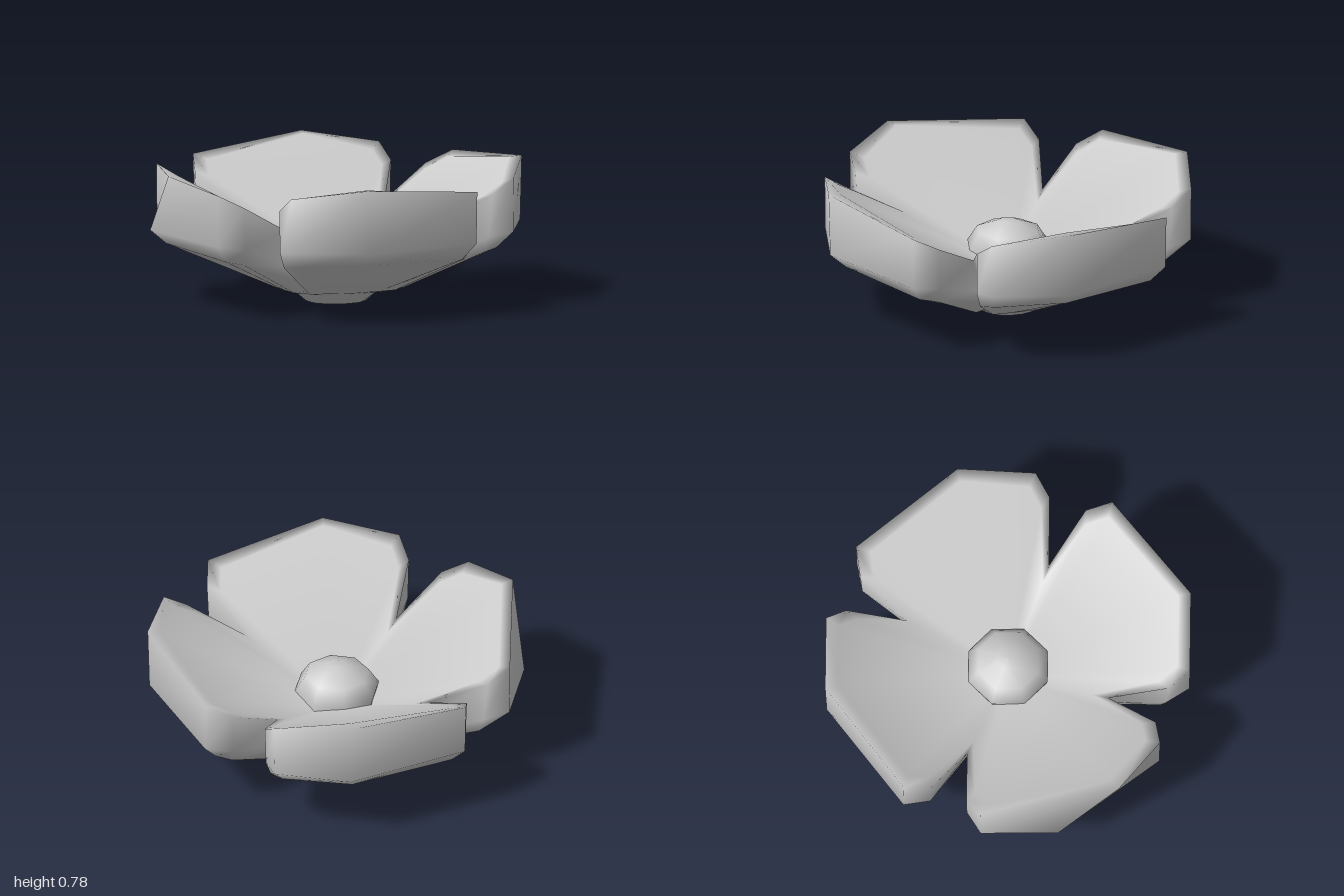
import * as THREE from 'three';
import { mergeGeometries, mergeVertices } from 'three/addons/utils/BufferGeometryUtils.js';

const material = new THREE.MeshStandardMaterial({ color: 0xcccccc });

// Quarter of the flower: rows of [u outward, v sideways, y] running from one valley
// (v = -u) round the petal to the other (v = u), stacked from foot to inner face
function petalGeometry(topTip, lowTip) {
  const rows = [
    // flat foot
    [[0.12, -0.12, 0], [0.145, -0.1, 0], [0.16, -0.06, 0], [0.17, 0, 0],
      [0.16, 0.06, 0], [0.145, 0.1, 0], [0.12, 0.12, 0]],
    // flare above the foot
    [[0.17, -0.17, 0.06], [0.2, -0.14, 0.06], [0.225, -0.09, 0.06], [0.24, 0, 0.06],
      [0.225, 0.09, 0.06], [0.2, 0.14, 0.06], [0.17, 0.17, 0.06]],
    // bowl
    [[0.21, -0.21, 0.09], [0.32, -0.25, 0.09], [0.34, -0.15, 0.09], [0.36, 0, 0.09],
      [0.34, 0.15, 0.09], [0.32, 0.25, 0.09], [0.21, 0.21, 0.09]],
    // edge of the underside
    [[0.27, -0.27, 0.15], [0.7, -0.52, 0.31], [0.79, -0.47, 0.325], [0.95, lowTip * 0.8, 0.345],
      [0.79, 0.49, 0.325], [0.7, 0.53, 0.31], [0.27, 0.27, 0.15]],
    // lower rim
    [[0.32, -0.32, 0.25], [0.72, -0.55, 0.4], [0.87, -0.53, 0.42], [1.035, lowTip, 0.42],
      [0.86, 0.55, 0.42], [0.71, 0.58, 0.4], [0.32, 0.32, 0.25]],
    // upper rim
    [[0.426, -0.426, 0.475], [0.74, -0.56, 0.64], [0.872, -0.533, 0.725], [1.045, topTip, 0.78],
      [0.86, 0.555, 0.712], [0.715, 0.59, 0.64], [0.426, 0.426, 0.475]],
    // edge of the inner face
    [[0.36, -0.36, 0.43], [0.7, -0.495, 0.622], [0.82, -0.475, 0.69], [0.975, topTip * 0.9, 0.773],
      [0.81, 0.49, 0.684], [0.685, 0.52, 0.614], [0.36, 0.36, 0.43]],
  ];
  const n = rows[0].length;
  const points = [...rows.flat(), [0, 0, 0], [0, 0, 0.23]];
  const bottom = rows.length * n;
  const top = bottom + 1;
  const lastRow = bottom - n;
  const index = [];
  for (let i = 0; i < n - 1; i++) {
    for (let r = 0; r < rows.length - 1; r++) {
      const a = r * n + i, b = a + 1;
      index.push(a, b, b + n, a, b + n, a + n);
    }
    index.push(bottom, i + 1, i);
    index.push(top, lastRow + i, lastRow + i + 1);
  }
  const geometry = new THREE.BufferGeometry();
  geometry.setAttribute('position',
    new THREE.Float32BufferAttribute(points.flatMap(([u, v, y]) => [u, y, -v]), 3));
  geometry.setIndex(index);
  return geometry;
}

export function createModel() {
  const group = new THREE.Group();

  // Four petals on the diagonals, welded along the valleys;
  // the front right one has its tip swept the other way
  const quarters = [-0.134, 0.23, -0.134, -0.134].map((topTip, i) =>
    petalGeometry(topTip, -0.134).rotateY(-Math.PI / 4 - i * Math.PI / 2));
  const flower = mergeVertices(mergeGeometries(quarters), 1e-3);
  flower.computeVertexNormals();
  const petals = new THREE.Mesh(flower, material);
  petals.name = 'petals';
  group.add(petals);

  // Octagonal domed bud in the middle
  const profile = [[0.2, 0.2], [0.238, 0.36], [0.18, 0.45], [0.06, 0.497], [0, 0.5]];
  const bud = new THREE.Mesh(
    new THREE.LatheGeometry(profile.map(([r, y]) => new THREE.Vector2(r, y)), 8), material);
  bud.name = 'bud';
  group.add(bud);

  return group;
}
